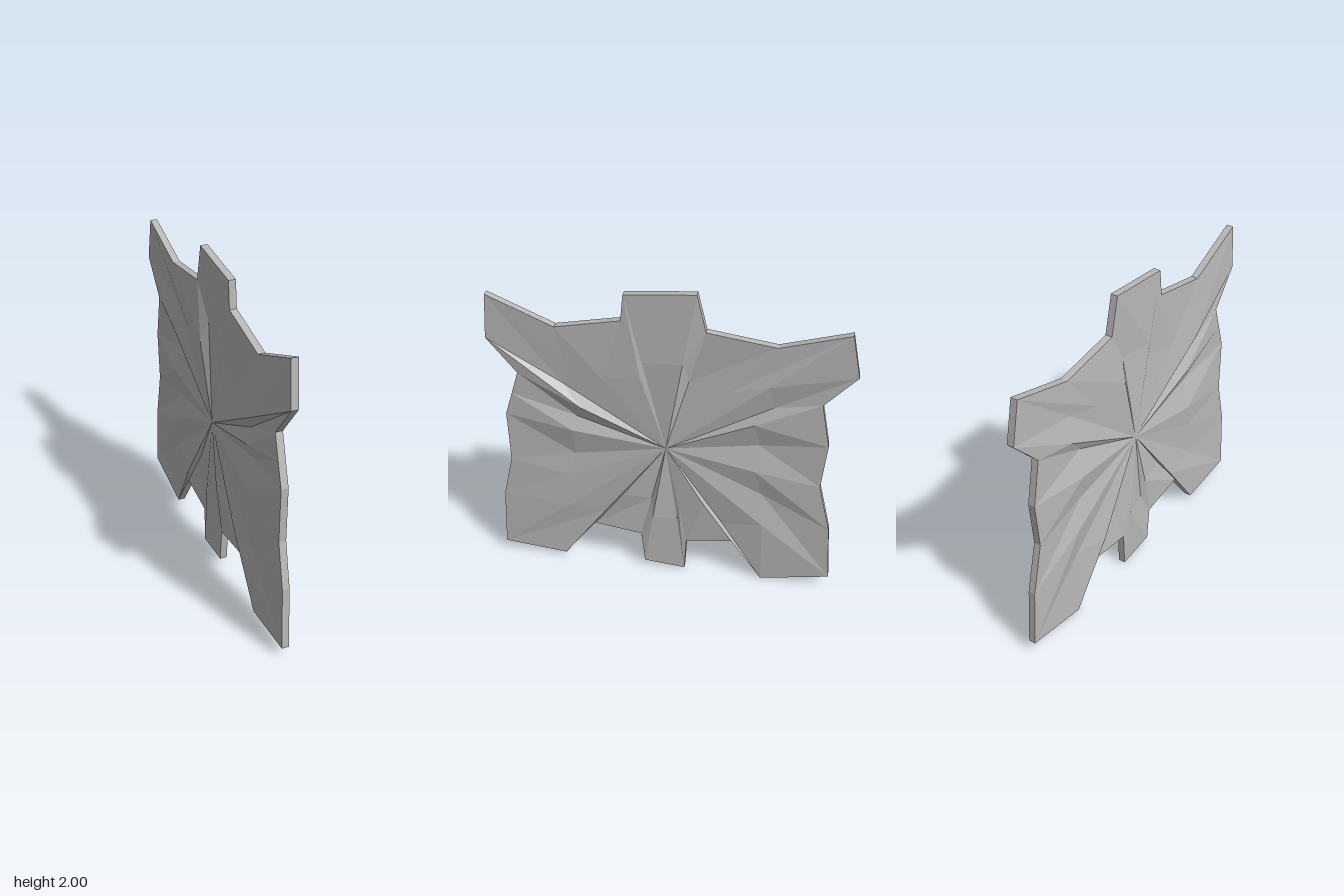
import * as THREE from 'three';

// Outline of the sheet: [z, y, crease height halfway to the centre]
const OUTLINE = [
  [0.97, 1.885, -0.01], [0.61, 1.715, 0], [0.255, 1.795, 0.01], [0.24, 1.96, 0],
  [-0.14, 2.0, 0.02], [-0.19, 1.77, -0.02], [-0.56, 1.715, 0], [-0.93, 1.835, 0.015],
  [-0.98, 1.57, -0.015], [-0.81, 1.365, 0.015], [-0.86, 1.08, -0.025], [-0.835, 0.78, 0.01],
  [-0.905, 0.46, -0.02], [-0.93, 0.08, 0.01], [-0.54, 0, -0.02], [-0.36, 0.28, 0.02],
  [-0.10, 0.24, 0], [-0.09, 0.01, -0.01], [0.145, 0.035, 0.015], [0.165, 0.255, -0.01],
  [0.44, 0.30, 0.02], [0.625, 0.02, -0.01], [0.99, 0.06, 0.01], [0.97, 0.46, 0],
  [0.91, 0.74, -0.015], [0.915, 1.08, 0.025], [0.872, 1.23, -0.01], [0.83, 1.38, 0.025],
  [0.99, 1.60, -0.02],
];
const CENTRE = [0.02, 0.945];
const RING = 0.58;
const THICKNESS = 0.043;

// Place a point on the slanted sheet, lifted h along its normal
function place(z, y, h) {
  return [0.018 - 0.4 * z + 0.928 * h, y, z + 0.371 * h];
}

function facetedMesh(name, triangles, material) {
  const geometry = new THREE.BufferGeometry();
  geometry.setAttribute('position', new THREE.Float32BufferAttribute(triangles.flat(2), 3));
  geometry.computeVertexNormals();
  const mesh = new THREE.Mesh(geometry, material);
  mesh.name = name;
  return mesh;
}

// Centre point, creased middle ring and outer edge of one face
function layer(offset) {
  const lerp = (a, b) => a + (b - a) * RING;
  return {
    centre: place(...CENTRE, offset),
    ring: OUTLINE.map(([z, y, h]) => place(lerp(CENTRE[0], z), lerp(CENTRE[1], y), offset + h)),
    edge: OUTLINE.map(([z, y]) => place(z, y, offset)),
  };
}

function faceTriangles({ centre, ring, edge }, flip) {
  const triangles = [];
  ring.forEach((r, i) => {
    const j = (i + 1) % ring.length;
    triangles.push([centre, ring[j], r], [r, ring[j], edge[j]], [r, edge[j], edge[i]]);
  });
  return flip ? triangles.map(([a, b, c]) => [a, c, b]) : triangles;
}

export function createModel() {
  const group = new THREE.Group();
  group.name = 'stretchedHide';
  const grey = new THREE.MeshStandardMaterial({ color: 0xb8b8b8 });
  grey.name = 'hideGrey';

  const front = layer(0);
  const back = layer(-THICKNESS);

  // Cut edge joining the two faces
  const rim = [];
  front.edge.forEach((p, i) => {
    const j = (i + 1) % front.edge.length;
    rim.push([p, front.edge[j], back.edge[j]], [p, back.edge[j], back.edge[i]]);
  });

  group.add(
    facetedMesh('hideFront', faceTriangles(front, false), grey),
    facetedMesh('hideBack', faceTriangles(back, true), grey),
    facetedMesh('hideRim', rim, grey),
  );
  return group;
}
